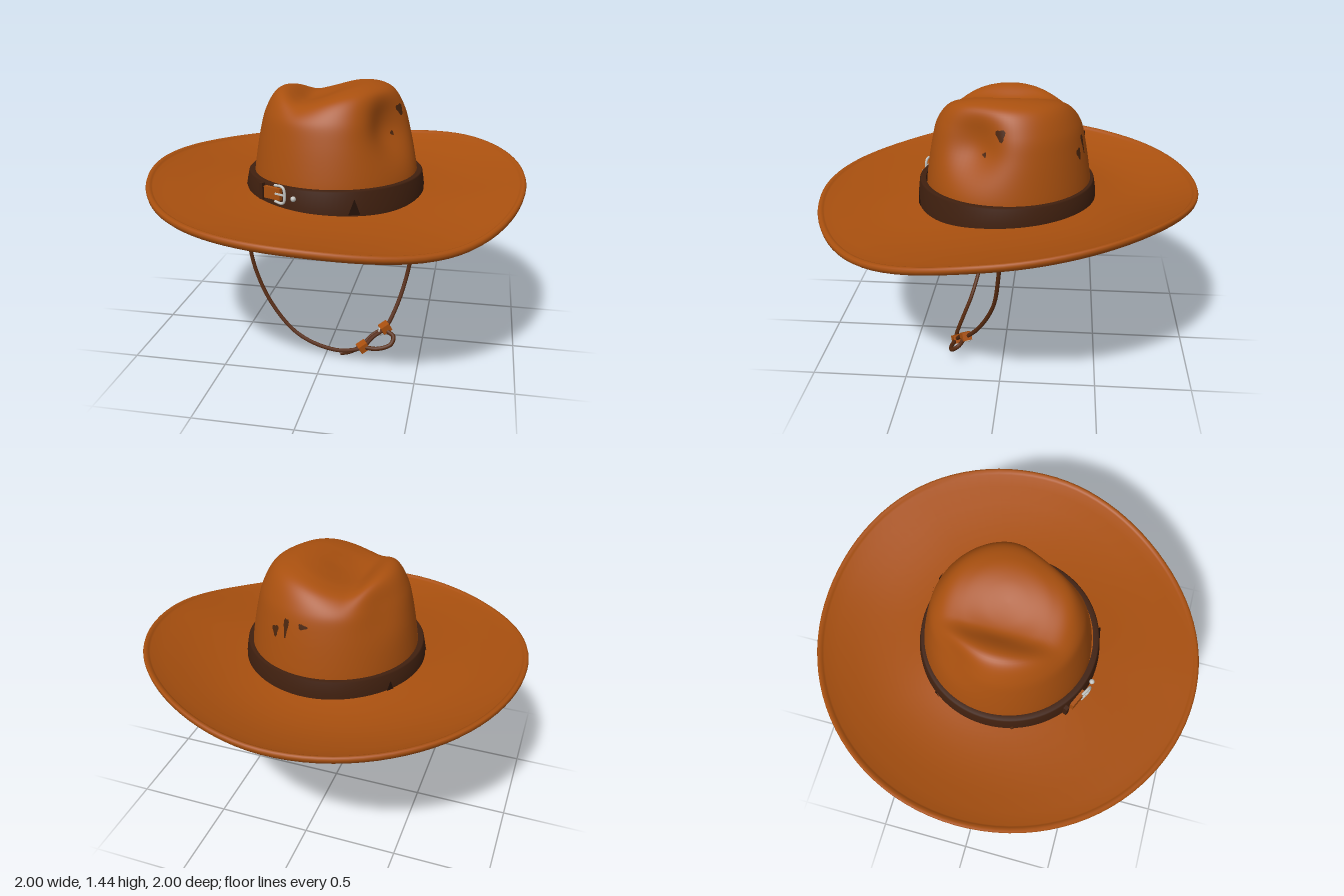
import * as THREE from 'three';

const mat = (name, color, side = THREE.FrontSide) => {
  const m = new THREE.MeshStandardMaterial({ color, side });
  m.name = name;
  return m;
};
const V = (x, y, z) => new THREE.Vector3(x, y, z);
const gauss = (d, s) => Math.exp(-(d * d) / (s * s));

// Smooth periodic interpolation through values spaced evenly round the circle
function around(vals, theta) {
  const n = vals.length;
  const f = (((theta / (Math.PI * 2)) % 1) + 1) % 1 * n;
  const i = Math.floor(f), t = f - i;
  const p = k => vals[(i + k + n) % n];
  return p(0) + 0.5 * t * (p(1) - p(-1) + t * (2 * p(-1) - 5 * p(0) + 4 * p(1) - p(2)
    + t * (3 * (p(0) - p(1)) + p(2) - p(-1))));
}

// Surface from closed loops: fn(theta, v) gives a point, v runs 0..1
function loops(fn, nTheta, nV) {
  const pos = [], idx = [];
  for (let j = 0; j <= nV; j++) {
    for (let i = 0; i < nTheta; i++) pos.push(...fn(i / nTheta * Math.PI * 2, j / nV).toArray());
  }
  for (let j = 0; j < nV; j++) {
    for (let i = 0; i < nTheta; i++) {
      const i2 = (i + 1) % nTheta;
      const a = j * nTheta + i, b = j * nTheta + i2, c = a + nTheta, d = b + nTheta;
      idx.push(a, c, b, b, c, d);
    }
  }
  const g = new THREE.BufferGeometry();
  g.setAttribute('position', new THREE.Float32BufferAttribute(pos, 3));
  g.setIndex(idx);
  g.computeVertexNormals();
  return g;
}

// Brim heights every 45 degrees, from the left side (+x) through the front (+z)
const BASE = [0.88, 0.86, 0.87, 0.89, 0.90, 0.90, 0.89, 0.89];
const MID = [0.90, 0.83, 0.855, 0.885, 0.91, 0.89, 0.885, 0.925];
const EDGE = [0.955, 0.83, 0.885, 0.905, 0.975, 0.965, 0.96, 1.015];

function brimTop(theta, r) {
  const a = 0.43, b = 0.75, c = 1;
  return around(BASE, theta) * (r - b) * (r - c) / ((a - b) * (a - c))
    + around(MID, theta) * (r - a) * (r - c) / ((b - a) * (b - c))
    + around(EDGE, theta) * (r - a) * (r - b) / ((c - a) * (c - b));
}

// Brim cross-section: radius and offset from the top face, underside first
const BRIM = [[0.43, -0.02], [0.5, -0.025], [0.58, -0.025], [0.66, -0.025], [0.74, -0.025],
  [0.82, -0.026], [0.9, -0.028], [0.96, -0.032], [0.985, -0.034], [0.997, -0.025], [1, -0.012],
  [0.996, 0], [0.985, 0.006], [0.972, 0.003], [0.965, -0.003], [0.9, 0], [0.82, 0], [0.74, 0],
  [0.66, 0], [0.58, 0], [0.5, 0], [0.43, 0]];

function brimPoint(theta, v) {
  const [r, dy] = BRIM[Math.round(v * (BRIM.length - 1))];
  return V(r * Math.cos(theta), brimTop(theta, r) + dy, r * Math.sin(theta));
}

const crownProfile = new THREE.SplineCurve([[0.44, 0.87], [0.43, 1.0], [0.4, 1.18], [0.367, 1.3],
  [0.305, 1.4], [0.21, 1.44], [0.1, 1.452], [0, 1.452]].map(p => new THREE.Vector2(...p)));

// Round crown with a crease on top and pinched dents in the sides
function crownPoint(theta, v) {
  const q = crownProfile.getPoint(v);
  const p = V(q.x * Math.cos(theta), q.y, q.x * Math.sin(theta) - 0.01);
  const upper = THREE.MathUtils.smoothstep(p.y, 1.25, 1.42);
  const dx = p.x + 0.13;
  const crease = 0.1 * upper * gauss(dx, dx < 0 ? 0.1 : 0.2) * gauss(p.z, 0.38);
  const pinch = 0.095 * gauss(p.distanceTo(V(0.34, 1.24, 0.16)), 0.16);
  const dimple = 0.03 * gauss(p.distanceTo(V(-0.3, 1.29, -0.2)), 0.13);
  p.y -= crease;
  p.addScaledVector(V(-0.87, -0.1, -0.42), pinch);
  p.addScaledVector(V(0.83, -0.1, 0.55), dimple);
  return p;
}

// Worn patch that follows the crown
function patchGeometry(theta, v, w, h) {
  return loops((a, s) => {
    const k = s * (1 + 0.25 * Math.sin(3 * a + theta * 5));
    const p = crownPoint(theta + w * k * Math.cos(a), v + h * k * Math.sin(a));
    return V(p.x * 1.013, p.y + 0.001, p.z * 1.013);
  }, 14, 3);
}

function bandPoint(theta, v) {
  const low = brimTop(theta, 0.46) - 0.01;
  const rows = [[0.473, low], [0.472, low + 0.04], [0.462, 0.975], [0.456, 0.981], [0.43, 0.979]];
  const [r, y] = rows[Math.round(v * 4)];
  return V(r * Math.cos(theta), y, r * Math.sin(theta));
}

const tube = (pts, r, closed = false, n = 60) => new THREE.TubeGeometry(
  new THREE.CatmullRomCurve3(pts.map(p => V(...p)), closed), n, r, 8, closed);

export function createModel() {
  const felt = mat('orange brown felt', 0xa9500f, THREE.DoubleSide);
  const leather = mat('dark brown leather', 0x40200f, THREE.DoubleSide);
  const cord = mat('brown cord', 0x55290f);
  const metal = mat('silver metal', 0xc4c4c0);
  const worn = mat('worn brown', 0x4a250d, THREE.DoubleSide);
  const seam = mat('blackish brown', 0x241108, THREE.DoubleSide);

  const hat = new THREE.Group();
  hat.name = 'hat';
  const add = (name, geo, material, parent = hat) => {
    const m = new THREE.Mesh(geo, material);
    m.name = name;
    parent.add(m);
    return m;
  };

  // Felt body
  add('brim', loops(brimPoint, 96, BRIM.length - 1), felt);
  add('crown', loops(crownPoint, 96, 56), felt);
  add('sweatband', loops((t, v) => {
    const y = brimTop(t, 0.43) - 0.022 + v * (0.07 + 0.012 * Math.sin(5 * t) + 0.008 * Math.sin(13 * t));
    return V(0.422 * Math.cos(t), y, 0.422 * Math.sin(t) - 0.005);
  }, 72, 2), leather);

  // Worn patches: angle, height along the crown, half width, half height
  [[0.08, 0.44, 0.075, 0.036], [0.33, 0.31, 0.03, 0.012], [-1.27, 0.32, 0.035, 0.05],
    [-1.11, 0.28, 0.05, 0.025], [-1.5, 0.34, 0.06, 0.015]]
    .forEach(p => add('wornPatch', patchGeometry(...p), worn));

  // Hat band with small notches
  add('hatBand', loops(bandPoint, 96, 4), leather);
  [1.19, -2.5].forEach(t => {
    const notch = new THREE.Shape([[-0.03, -0.045], [0.03, -0.045], [0, 0.035]].map(p => new THREE.Vector2(...p)));
    const m = add('bandNotch', new THREE.ShapeGeometry(notch), seam);
    m.position.set(0.477 * Math.cos(t), 0.91, 0.477 * Math.sin(t));
    m.rotation.y = Math.PI / 2 - t;
  });

  // Buckle on the band
  const buckle = new THREE.Group();
  buckle.name = 'buckle';
  const bt = 2.0;
  buckle.position.set(0.475 * Math.cos(bt), 0.95, 0.475 * Math.sin(bt));
  buckle.rotation.y = Math.PI / 2 - bt;
  hat.add(buckle);
  add('buckleTab', new THREE.BoxGeometry(0.1, 0.06, 0.02), felt, buckle).position.set(-0.04, -0.005, 0.003);
  add('buckleFrame', tube([[-0.02, 0.04, 0.012], [0.025, 0.042, 0.016], [0.04, 0.03, 0.016],
    [0.042, -0.03, 0.016], [0.028, -0.044, 0.016], [-0.02, -0.042, 0.012]], 0.007, false, 40), metal, buckle);
  add('bucklePin', new THREE.BoxGeometry(0.06, 0.008, 0.008), metal, buckle).position.set(0.015, 0, 0.018);
  add('stud', new THREE.SphereGeometry(0.014, 12, 8), metal, buckle).position.set(0.085, -0.015, 0);
  add('keeper', new THREE.BoxGeometry(0.022, 0.085, 0.022), leather, buckle).position.set(-0.12, -0.01, -0.008);

  // Chin strap, hanging from both sides of the crown
  add('chinStrap', tube([[-0.435, 0.95, 0.13], [-0.46, 0.84, 0.135], [-0.463, 0.7, 0.138],
    [-0.452, 0.54, 0.145], [-0.415, 0.4, 0.16], [-0.33, 0.24, 0.19], [-0.2, 0.105, 0.23],
    [-0.08, 0.05, 0.26], [0.06, 0.027, 0.28], [0.14, 0.035, 0.28], [0.2, 0.055, 0.27],
    [0.25, 0.105, 0.24], [0.31, 0.145, 0.2], [0.36, 0.24, 0.12], [0.405, 0.4, 0.04],
    [0.43, 0.58, 0.01], [0.438, 0.75, 0], [0.437, 0.96, 0]], 0.011, false, 140), cord);
  add('strapLoop', tube([[0.2, 0.055, 0.27], [0.28, 0.06, 0.285], [0.35, 0.085, 0.27],
    [0.36, 0.115, 0.235], [0.33, 0.13, 0.215], [0.3, 0.145, 0.2]], 0.012), cord);
  add('strapEnd', tube([[0.3, 0.14, 0.2], [0.24, 0.1, 0.22], [0.19, 0.05, 0.25],
    [0.13, 0.022, 0.275], [0.08, 0.013, 0.285]], 0.012), cord);

  // Beads and ring that hold the loop
  [[0.2, 0.055, 0.265], [0.31, 0.148, 0.2]].forEach(p => {
    const bead = add('strapBead', new THREE.BoxGeometry(0.052, 0.044, 0.05), felt);
    bead.position.set(...p);
    bead.rotation.set(0, 0.5, 0.5);
  });
  const ring = add('strapRing', new THREE.TorusGeometry(0.026, 0.005, 8, 20), metal);
  ring.position.set(0.29, 0.13, 0.2);
  ring.rotation.set(0, 1.2, 0.5);

  return hat;
}
